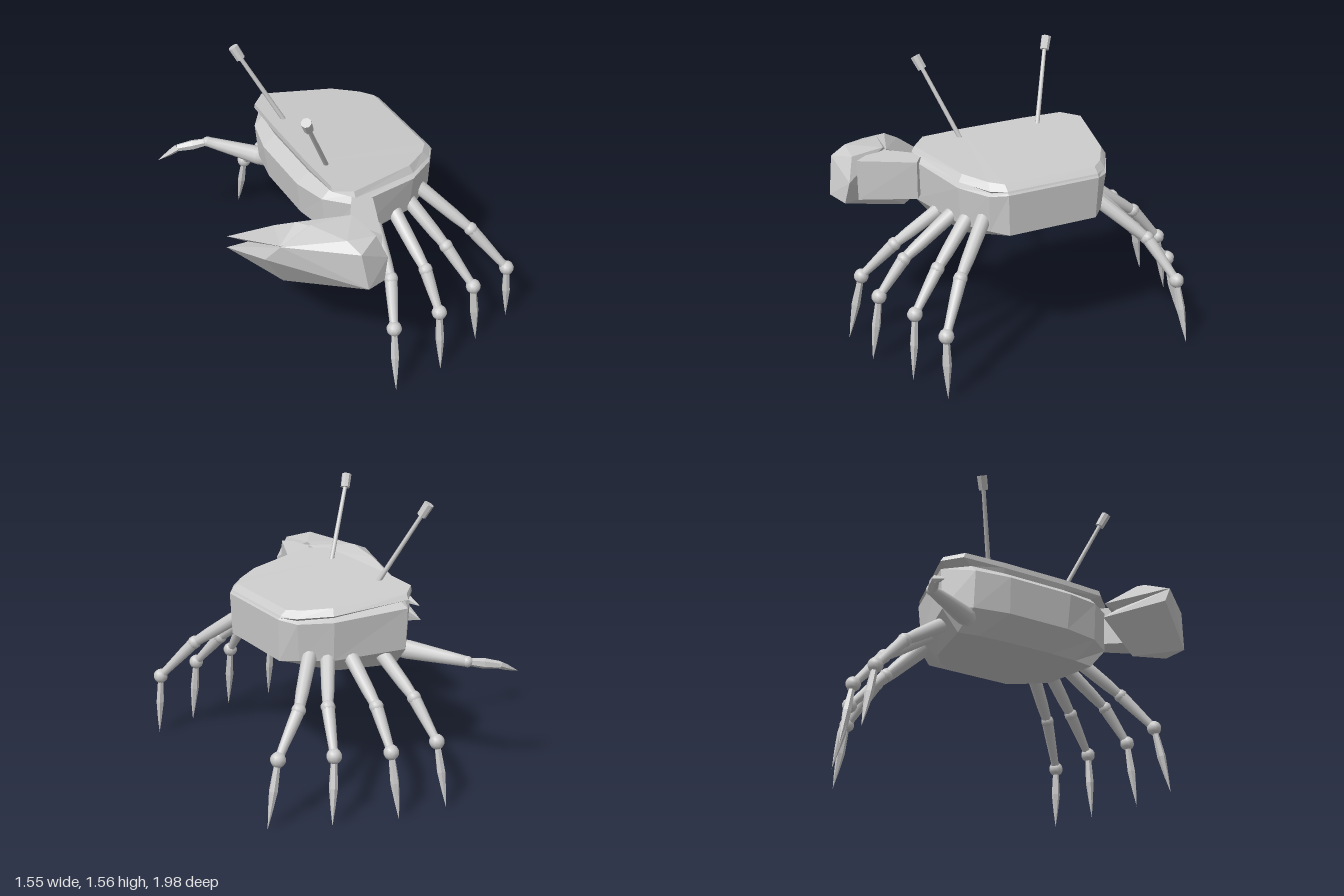
import * as THREE from 'three';
import { ConvexGeometry } from 'three/addons/geometries/ConvexGeometry.js';

const flat = new THREE.MeshStandardMaterial({ color: 0xcccccc, flatShading: true });
const smooth = new THREE.MeshStandardMaterial({ color: 0xcccccc });
const V = (p) => new THREE.Vector3(...p);

function add(parent, name, geometry, material = flat) {
  const mesh = new THREE.Mesh(geometry, material);
  mesh.name = name;
  parent.add(mesh);
  return mesh;
}

// Tapered round segment between two points; profile is [fraction along, radius] pairs
function limb(parent, name, a, b, profile, sides = 10, material = smooth) {
  const from = V(a), dir = V(b).sub(from), len = dir.length();
  const pts = profile.map(([t, r]) => new THREE.Vector2(r, t * len));
  const mesh = add(parent, name, new THREE.LatheGeometry(pts, sides), material);
  mesh.position.copy(from);
  mesh.quaternion.setFromUnitVectors(new THREE.Vector3(0, 1, 0), dir.normalize());
}

function joint(parent, name, p, r) {
  add(parent, name, new THREE.SphereGeometry(r, 10, 7), smooth).position.set(...p);
}

function hull(parent, name, points) {
  add(parent, name, new ConvexGeometry(points.map(V)));
}

// Faceted shell lofted through mirrored half outlines, from belly to back plate
function shellGeometry() {
  const halves = [
    // belly
    [[-0.23, 0.66, 0.15], [-0.22, 0.66, 0.32], [-0.2, 0.66, 0.44], [0.14, 0.67, 0.38], [0.26, 0.69, 0.3], [0.33, 0.7, 0.22]],
    // lower edge
    [[-0.34, 0.78, 0.19], [-0.3, 0.78, 0.4], [-0.2, 0.78, 0.54], [0.21, 0.76, 0.45], [0.37, 0.76, 0.35], [0.45, 0.75, 0.27]],
    // shoulder
    [[-0.365, 0.99, 0.2], [-0.32, 1, 0.4], [-0.2, 1.02, 0.555], [0.22, 0.985, 0.47], [0.39, 0.975, 0.365], [0.458, 0.99, 0.28]],
    // groove, fading out at the rear
    [[-0.29, 1.05, 0.2], [-0.27, 1.05, 0.4], [-0.19, 1.045, 0.5], [0.2, 1.0, 0.43], [0.38, 0.99, 0.345], [0.45, 1.0, 0.28]],
    // plate lip
    [[-0.3, 1.08, 0.2], [-0.29, 1.08, 0.46], [-0.2, 1.07, 0.558], [0.22, 1.02, 0.465], [0.39, 1.005, 0.36], [0.445, 1.01, 0.28]],
    // plate top
    [[-0.3, 1.112, 0.2], [-0.29, 1.11, 0.45], [-0.2, 1.1, 0.54], [0.21, 1.06, 0.44], [0.35, 1.045, 0.35], [0.41, 1.04, 0.28]],
  ];
  const n = 12, pos = [], index = [];
  for (const half of halves) {
    const mirrored = half.map(([x, y, z]) => [x, y, -z]).reverse();
    pos.push(...half.flat(), ...mirrored.flat());
  }
  const last = (halves.length - 1) * n;
  for (let k = 0; k < last; k += n)
    for (let i = 0; i < n; i++) {
      const a = k + i, b = k + (i + 1) % n;
      index.push(a, b, b + n, a, b + n, a + n);
    }
  for (let i = 1; i < n - 1; i++) {
    index.push(0, i + 1, i);
    index.push(last, last + i, last + i + 1);
  }
  const g = new THREE.BufferGeometry();
  g.setAttribute('position', new THREE.Float32BufferAttribute(pos, 3));
  g.setIndex(index);
  g.computeVertexNormals();
  return g;
}

// Walking leg: thigh, shin and pointed foot with round joints
function leg(parent, name, [hip, knee, ankle, foot]) {
  const g = new THREE.Group();
  g.name = name;
  parent.add(g);
  limb(g, 'thigh', hip, knee, [[0, 0], [0, 0.03], [0.06, 0.042], [0.7, 0.036], [1, 0.028]]);
  joint(g, 'knee', knee, 0.04);
  limb(g, 'shin', knee, ankle, [[0, 0.036], [0.3, 0.033], [0.85, 0.024], [1, 0.03]]);
  joint(g, 'ankle', ankle, 0.043);
  limb(g, 'foot', ankle, foot, [[0, 0.018], [0.12, 0.019], [0.45, 0.025], [0.75, 0.013], [1, 0]], 6, flat);
}

export function createModel() {
  const crab = new THREE.Group();
  crab.name = 'crab';

  add(crab, 'shell', shellGeometry());

  // Eye stalks
  for (const s of [1, -1]) {
    const base = [-0.2, 1.08, 0.245 * s], neck = [-0.39, 1.48, 0.395 * s], tip = [-0.42, 1.55, 0.424 * s];
    limb(crab, 'eyeStalk', base, neck, [[0, 0.014], [1, 0.012]], 8);
    limb(crab, 'eye', neck, tip, [[0, 0], [0, 0.027], [1, 0.029], [1, 0]], 8, flat);
  }

  // Walking legs, front to back: hip, knee, ankle, foot
  const leftLegs = [
    [[-0.025, 0.78, 0.45], [-0.075, 0.585, 0.735], [-0.155, 0.39, 0.91], [-0.18, 0, 0.99]],
    [[0.11, 0.8, 0.44], [0.13, 0.585, 0.765], [0.13, 0.39, 0.92], [0.125, 0, 0.97]],
    [[0.22, 0.81, 0.41], [0.335, 0.59, 0.655], [0.415, 0.39, 0.83], [0.435, 0, 0.86]],
    [[0.31, 0.84, 0.35], [0.53, 0.605, 0.61], [0.685, 0.37, 0.77], [0.705, 0, 0.775]],
  ];
  const rightLegs = [
    [[-0.09, 0.76, -0.45], [-0.13, 0.57, -0.73], [-0.16, 0.37, -0.91], [-0.18, 0, -0.985]],
    [[0.1, 0.77, -0.44], [0.115, 0.57, -0.73], [0.13, 0.37, -0.9], [0.12, 0, -0.97]],
    [[0.22, 0.78, -0.4], [0.34, 0.57, -0.6], [0.415, 0.37, -0.785], [0.465, 0, -0.85]],
    [[0.3, 0.8, -0.35], [0.51, 0.58, -0.58], [0.69, 0.37, -0.67], [0.775, 0, -0.7]],
  ];
  leftLegs.forEach((p) => leg(crab, 'leftLeg', p));
  rightLegs.forEach((p) => leg(crab, 'rightLeg', p));

  // Large claw: arm, palm with lower finger, upper finger
  const claw = new THREE.Group();
  claw.name = 'largeClaw';
  crab.add(claw);
  hull(claw, 'arm', [
    [-0.1, 0.82, 0.57], [-0.1, 1.04, 0.57], [-0.19, 0.82, 0.5], [-0.19, 1.05, 0.5],
    [-0.33, 0.83, 0.72], [-0.33, 1.07, 0.72], [-0.22, 0.83, 0.88], [-0.23, 1.06, 0.88],
  ]);
  hull(claw, 'palm', [
    [-0.775, 0.655, 0.13], [-0.59, 0.575, 0.45], [-0.755, 0.88, 0.57], [-0.7, 1.0, 0.65],
    [-0.43, 1.09, 0.87], [-0.27, 1.075, 0.89], [-0.4, 1.05, 0.965], [-0.37, 0.83, 0.995],
    [-0.25, 0.81, 0.95], [-0.22, 0.94, 0.93], [-0.33, 0.8, 0.73], [-0.3, 1.085, 0.69],
    [-0.52, 1.07, 0.64],
  ]);
  hull(claw, 'upperFinger', [
    [-0.775, 0.74, 0.14], [-0.64, 0.99, 0.46], [-0.57, 1.06, 0.57], [-0.7, 1.0, 0.64],
    [-0.3, 1.07, 0.67], [-0.28, 0.86, 0.7], [-0.42, 0.84, 0.74], [-0.42, 1.08, 0.8],
  ]);

  // Small claw
  const small = new THREE.Group();
  small.name = 'smallClaw';
  crab.add(small);
  limb(small, 'smallArm', [-0.24, 0.74, -0.4], [-0.47, 0.72, -0.75],
    [[0, 0], [0, 0.05], [0.15, 0.055], [0.8, 0.036], [1, 0.03], [1, 0]]);
  joint(small, 'smallWrist', [-0.47, 0.72, -0.75], 0.032);
  limb(small, 'smallPincer', [-0.47, 0.72, -0.75], [-0.64, 0.69, -0.82],
    [[0, 0.022], [0.5, 0.03], [1, 0.022]], 6, flat);
  limb(small, 'smallPincerTip', [-0.64, 0.69, -0.82], [-0.765, 0.635, -0.832],
    [[0, 0], [0, 0.022], [0.4, 0.017], [1, 0]], 6, flat);

  return crab;
}
